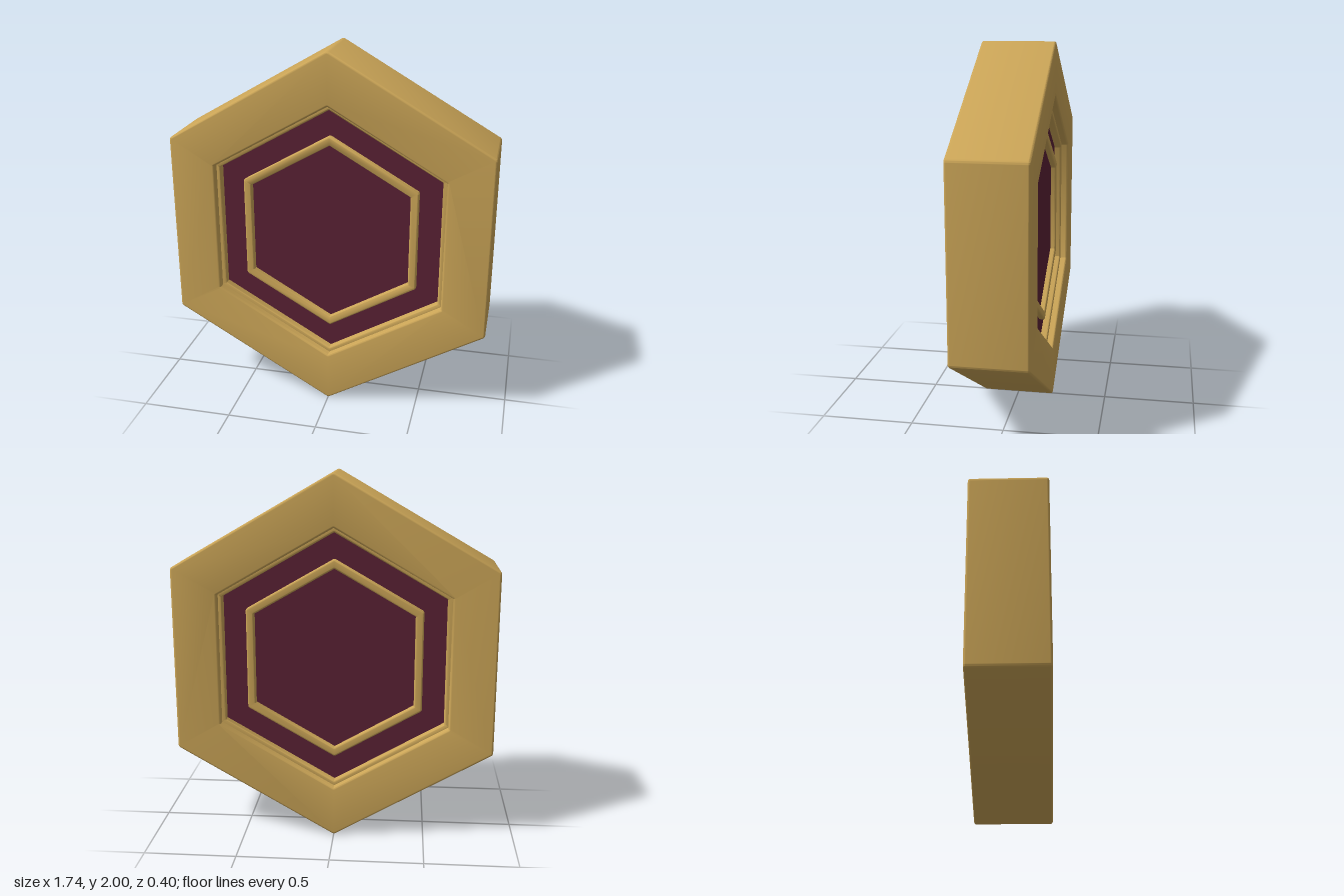
import * as THREE from 'three';
import { toCreasedNormals } from 'three/addons/utils/BufferGeometryUtils.js';

// Pointy-top hexagon with slightly rounded corners; apothem = centre to flat side
function traceHex(path, apothem, round) {
  const reach = (apothem - round) / Math.cos(Math.PI / 6);
  for (let i = 0; i < 6; i++) {
    const a = Math.PI / 2 + i * Math.PI / 3;
    path.absarc(reach * Math.cos(a), reach * Math.sin(a), round, a - Math.PI / 6, a + Math.PI / 6, false);
  }
  path.closePath();
  return path;
}

// Hexagonal slab or ring, centred on z = 0, with softened edges
function hexPart(name, material, { outer, inner, half, bevel, round }) {
  const shape = traceHex(new THREE.Shape(), outer, round);
  if (inner) shape.holes.push(traceHex(new THREE.Path(), inner, 0.004));
  const geometry = new THREE.ExtrudeGeometry(shape, {
    depth: 2 * (half - bevel),
    bevelEnabled: bevel > 0,
    bevelSize: bevel,
    bevelThickness: bevel,
    bevelOffset: -bevel,
    bevelSegments: 4,
    curveSegments: 4,
  });
  geometry.translate(0, 0, -(half - bevel));
  const mesh = new THREE.Mesh(toCreasedNormals(geometry, 0.6), material);
  mesh.name = name;
  return mesh;
}

export function createModel() {
  const gold = new THREE.MeshStandardMaterial({ color: 0xcba557 });
  gold.name = 'gold';
  const burgundy = new THREE.MeshStandardMaterial({ color: 0x5a2135 });
  burgundy.name = 'burgundy';

  const model = new THREE.Group();
  model.name = 'hexagonBadge';
  model.add(
    // Thick outer body with a recess on both faces
    hexPart('outerFrame', gold, { outer: 0.868, inner: 0.623, half: 0.2, bevel: 0.012, round: 0.02 }),
    // Stepped lip inside the recess
    hexPart('recessLip', gold, { outer: 0.64, inner: 0.6, half: 0.16, bevel: 0.01, round: 0.015 }),
    // Sunken panel, the same on front and back
    hexPart('panel', burgundy, { outer: 0.62, half: 0.12, bevel: 0, round: 0.01 }),
    // Raised ring on the panel
    hexPart('innerRing', gold, { outer: 0.478, inner: 0.433, half: 0.15, bevel: 0.01, round: 0.015 }),
  );
  model.position.y = 1;

  const root = new THREE.Group();
  root.add(model);
  return root;
}
